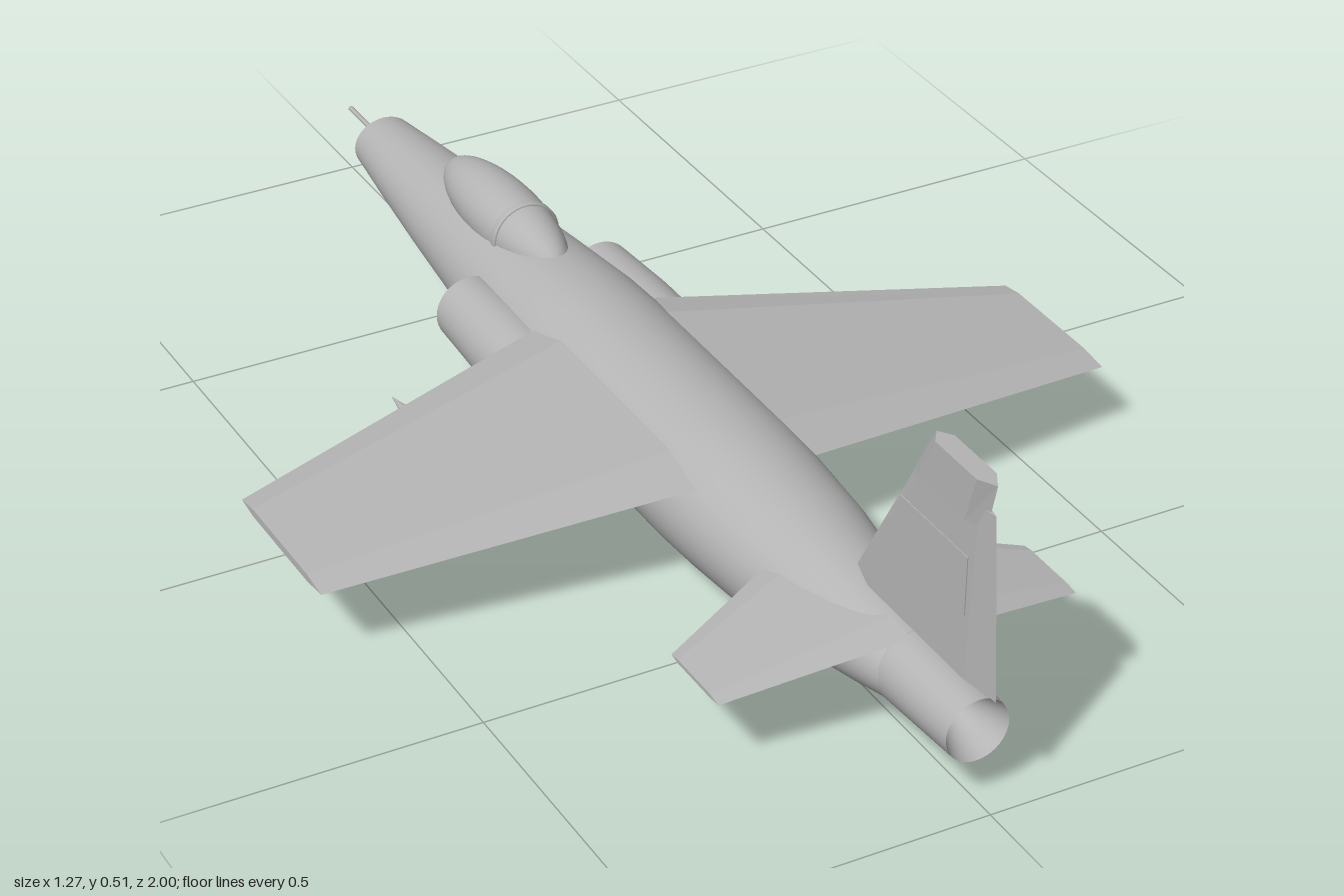
import * as THREE from 'three';

const V = (x, y, z) => new THREE.Vector3(x, y, z);

// Closed solid through matching cross-section loops (counterclockwise seen from the last one)
function loft(a, b) {
  const p = [], n = a.length;
  const tri = (...v) => v.forEach(q => p.push(q.x, q.y, q.z));
  for (let i = 0; i < n; i++) {
    const j = (i + 1) % n;
    tri(a[i], a[j], b[j]);
    tri(a[i], b[j], b[i]);
    if (i > 0 && i < n - 1) {
      tri(b[0], b[i], b[j]);
      tri(a[0], a[j], a[i]);
    }
  }
  const g = new THREE.BufferGeometry();
  g.setAttribute('position', new THREE.Float32BufferAttribute(p, 3));
  g.computeVertexNormals();
  return g;
}

// Airfoil outline: leading edge, one side, trailing edge, other side; [chord fraction, thickness]
const FOIL = [[0, 0], [0.14, 1], [0.82, 1], [1, 0], [0.82, -1], [0.14, -1]];

// Horizontal surface; root and tip are {x, y, front, back, half}
function surface(root, tip, side) {
  const section = s => {
    const pts = FOIL.map(([c, t]) => V(side * s.x, s.y + t * s.half, s.front + c * (s.back - s.front)));
    return side > 0 ? pts : pts.reverse();
  };
  return loft(section(root), section(tip));
}

// Vertical surface; base and top are {y, front, back, half}
function upright(base, top) {
  const section = s => FOIL.map(([c, t]) => V(-t * s.half, s.y, s.front + c * (s.back - s.front)));
  return loft(section(base), section(top));
}

// Body of revolution along z; profile is [radius, z]
function turned(profile, segments = 40) {
  const g = new THREE.LatheGeometry(profile.map(([r, z]) => new THREE.Vector2(r, z)), segments);
  return g.rotateX(Math.PI / 2);
}

export function createModel() {
  const model = new THREE.Group();
  const grey = new THREE.MeshStandardMaterial({ color: 0xb4b4b4, side: THREE.DoubleSide });
  grey.name = 'airframe grey';

  const add = (name, geometry, x = 0, y = 0, z = 0, parent = model) => {
    const mesh = new THREE.Mesh(geometry, grey);
    mesh.name = name;
    mesh.position.set(x, y, z);
    parent.add(mesh);
    return mesh;
  };

  // Fuselage, slightly wider than tall, with hollow nose
  const axis = 0.11;
  const hull = [[0.045, -0.87], [0.058, -0.75], [0.073, -0.6], [0.095, -0.35], [0.107, -0.2], [0.11, -0.1],
    [0.11, 0.28], [0.107, 0.36], [0.098, 0.5], [0.083, 0.62], [0.064, 0.73], [0.05, 0.8]];
  add('fuselage', turned(hull, 48), 0, axis).scale.x = 1.14;
  add('noseIntake', turned([[0, -0.8], [0.045, -0.87]]), 0, axis).scale.x = 1.14;
  add('noseProbe', turned([[0, -1], [0.004, -0.998], [0.004, -0.89], [0.008, -0.87], [0.008, -0.8]], 12), 0, axis + 0.002);

  // Exhaust nozzle
  add('nozzle', turned([[0.05, 0.785], [0.057, 0.795], [0.049, 0.96]]), 0, 0.112);
  add('nozzleInside', turned([[0.049, 0.96], [0, 0.83]]), 0, 0.112);

  // Canopy and its frame
  add('canopy', new THREE.SphereGeometry(1, 32, 20), 0, 0.195, -0.425).scale.set(0.056, 0.055, 0.187);
  add('canopyFrame', turned([[0.0535, -0.006], [0.0555, -0.006], [0.0555, 0.006], [0.052, 0.006]]), 0, 0.195, -0.36);

  // Tail fin with thicker cap
  add('tailFin', upright({ y: 0.182, front: 0.64, back: 1, half: 0.01 }, { y: 0.46, front: 0.805, back: 0.98, half: 0.006 }));
  add('finCap', upright({ y: 0.43, front: 0.785, back: 0.96, half: 0.015 }, { y: 0.506, front: 0.83, back: 0.98, half: 0.015 }));

  // Wing surface heights, shared with the markings
  const root = { x: 0.06, y: 0.178, front: -0.143, back: 0.368, half: 0.013 };
  const tip = { x: 0.637, y: 0.121, front: 0.01, back: 0.28, half: 0.006 };
  const wingTop = x => {
    const t = (x - root.x) / (tip.x - root.x);
    return THREE.MathUtils.lerp(root.y + root.half, tip.y + tip.half, t);
  };

  for (const side of [1, -1]) {
    const label = side > 0 ? 'left' : 'right';
    add(label + 'Wing', surface(root, tip, side));
    add(label + 'Tailplane', surface(
      { x: 0.01, y: 0.164, front: 0.51, back: 0.803, half: 0.007 },
      { x: 0.28, y: 0.121, front: 0.63, back: 0.762, half: 0.003 }, side));

    // Round wing marking laid on the upper skin
    const disc = new THREE.CircleGeometry(0.125, 40).rotateX(-Math.PI / 2).translate(side * 0.4, 0, 0.13);
    const pos = disc.attributes.position;
    for (let i = 0; i < pos.count; i++) pos.setY(i, wingTop(Math.abs(pos.getX(i))) + 0.0012);
    disc.computeVertexNormals();
    add(label + 'WingMarking', disc);

    // Square fin marking
    add(label + 'FinMarking', new THREE.BoxGeometry(0.002, 0.09, 0.17), side * 0.0084, 0.325, 0.845)
      .rotation.z = side * 0.0145;

    // Side intake, half buried in the fuselage
    add(label + 'Intake', turned([[0.054, -0.33], [0.06, -0.2], [0.06, -0.08], [0.052, -0.03], [0, -0.02]]), side * 0.112, 0.112);
    add(label + 'IntakeMouth', turned([[0, -0.25], [0.048, -0.28], [0.048, -0.33], [0.054, -0.33]]), side * 0.112, 0.112);

    // Missile with cross fins and pylon
    const missile = new THREE.Group();
    missile.name = label + 'Missile';
    missile.position.set(side * 0.32, 0.105, 0);
    model.add(missile);
    add('missileBody', turned([[0, -0.165], [0.006, -0.13], [0.012, -0.085], [0.012, 0.22], [0, 0.22]], 16), 0, 0, 0, missile);
    add('missileFinsAcross', new THREE.BoxGeometry(0.068, 0.004, 0.04), 0, 0, 0.2, missile);
    add('missileFinsUpright', new THREE.BoxGeometry(0.004, 0.06, 0.04), 0, 0, 0.2, missile);
    add('missilePylon', new THREE.BoxGeometry(0.008, 0.045, 0.17), 0, 0.025, 0.08, missile);
  }
  return model;
}
